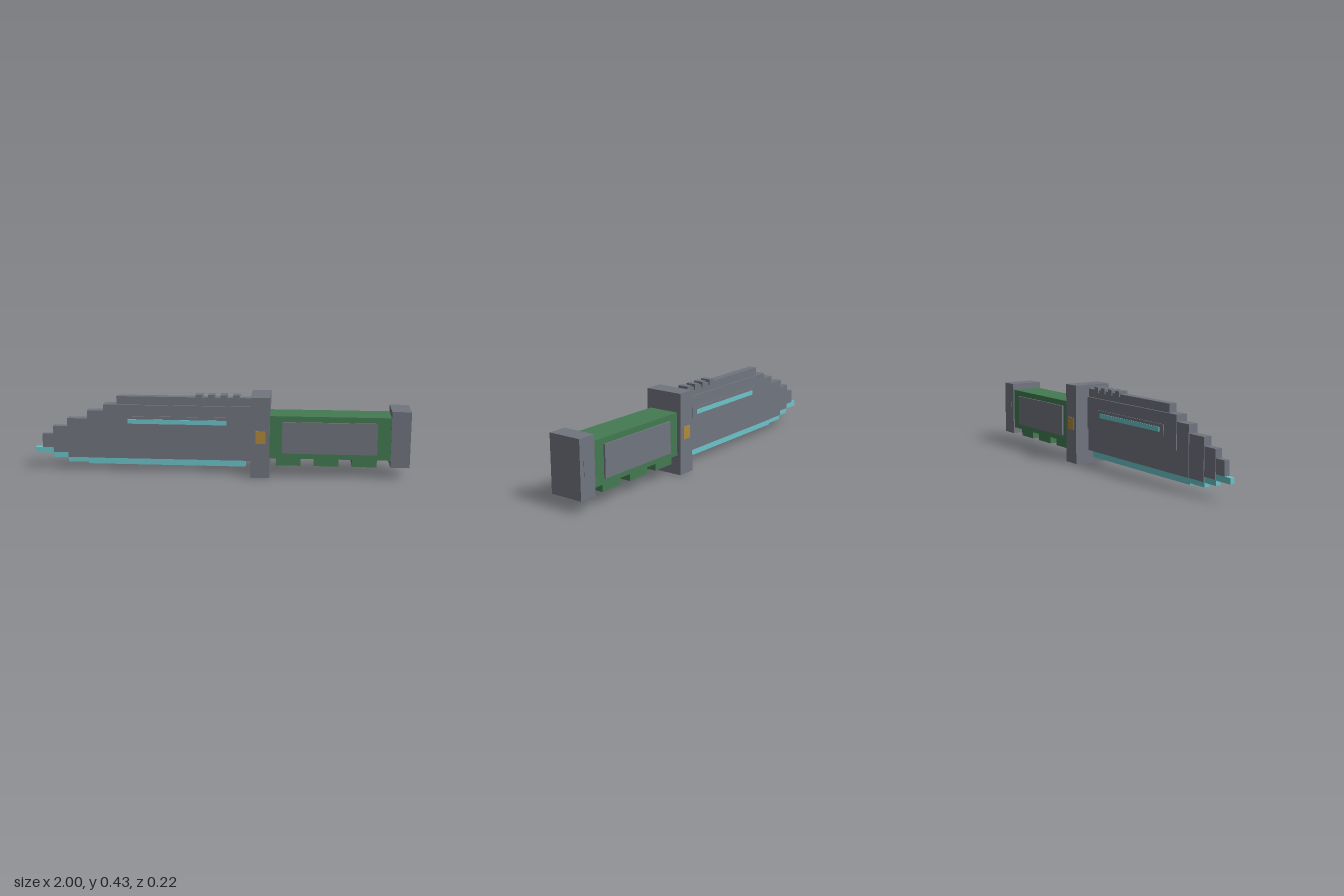
import * as THREE from 'three';

export function createModel() {
  const model = new THREE.Group();
  model.name = 'combatKnife';

  const material = (name, color) => {
    const m = new THREE.MeshStandardMaterial({ color });
    m.name = name;
    return m;
  };
  const steel = material('grey steel', 0x71757f);
  const green = material('grip green', 0x437a52);
  const cyan = material('glowing cyan', 0x6cc5cb);
  const gold = material('gold', 0xb08a3a);

  // Box from x and y limits, centred on z with half thickness h
  const block = (name, mat, x0, x1, y0, y1, h) => {
    const mesh = new THREE.Mesh(new THREE.BoxGeometry(x1 - x0, y1 - y0, 2 * h), mat);
    mesh.position.set((x0 + x1) / 2, (y0 + y1) / 2, 0);
    mesh.name = name;
    model.add(mesh);
  };
  // Matching thin plates on both broad sides, from z0 out to z1
  const sidePlates = (name, mat, x0, x1, y0, y1, z0, z1) => {
    for (const s of [1, -1]) {
      const mesh = new THREE.Mesh(new THREE.BoxGeometry(x1 - x0, y1 - y0, z1 - z0), mat);
      mesh.position.set((x0 + x1) / 2, (y0 + y1) / 2, (s * (z0 + z1)) / 2);
      mesh.name = name + (s > 0 ? 'Front' : 'Back');
      model.add(mesh);
    }
  };

  // Blade: thick body, thinner spine above and bevel below
  block('bladeBody', steel, -0.62, 0.17, 0.19, 0.365, 0.032);
  block('bladeSpine', steel, -0.55, 0.17, 0.365, 0.41, 0.022);
  block('bladeBevel', steel, -0.71, 0.17, 0.07, 0.19, 0.026);

  // Stepped point, getting thinner toward the tip
  [
    [-0.71, -0.62, 0.19, 0.33, 0.027],
    [-0.82, -0.71, 0.07, 0.285, 0.023],
    [-0.9, -0.82, 0.095, 0.24, 0.019],
    [-0.96, -0.9, 0.12, 0.195, 0.015],
  ].forEach((s, i) => block('pointStep' + (i + 1), steel, ...s));

  // Glowing cutting edge
  [
    [-0.71, 0.14, 0.035, 0.07, 0.016],
    [-0.82, -0.71, 0.043, 0.07, 0.015],
    [-0.9, -0.82, 0.065, 0.095, 0.014],
    [-1, -0.9, 0.09, 0.12, 0.013],
  ].forEach((s, i) => block('cuttingEdge' + (i + 1), cyan, ...s));

  // Fuller with its glowing strip
  sidePlates('fuller', steel, -0.52, 0.07, 0.25, 0.305, 0.032, 0.037);
  sidePlates('fullerStrip', cyan, -0.49, 0.04, 0.265, 0.289, 0.037, 0.041);

  // Teeth along the spine
  for (let i = 0; i < 4; i++) {
    const x = -0.125 + i * 0.066;
    block('spineTooth' + (i + 1), steel, x, x + 0.035, 0.395, 0.425, 0.028);
  }

  // Guard with gold studs
  block('guard', steel, 0.17, 0.27, 0, 0.43, 0.106);
  sidePlates('guardStud', gold, 0.196, 0.248, 0.186, 0.253, 0.106, 0.11);

  // Handle with side panels and finger ridges
  block('handle', green, 0.27, 0.9, 0.103, 0.33, 0.085);
  sidePlates('gripPanel', steel, 0.335, 0.83, 0.132, 0.3, 0.085, 0.094);
  for (let i = 0; i < 3; i++) {
    const x = 0.303 + i * 0.199;
    block('fingerRidge' + (i + 1), green, x, x + 0.13, 0.062, 0.103, 0.073);
  }

  // Pommel with a small side plate
  block('pommel', steel, 0.9, 1, 0.067, 0.365, 0.092);
  sidePlates('pommelPlate', steel, 0.925, 0.975, 0.18, 0.255, 0.092, 0.094);

  return model;
}
